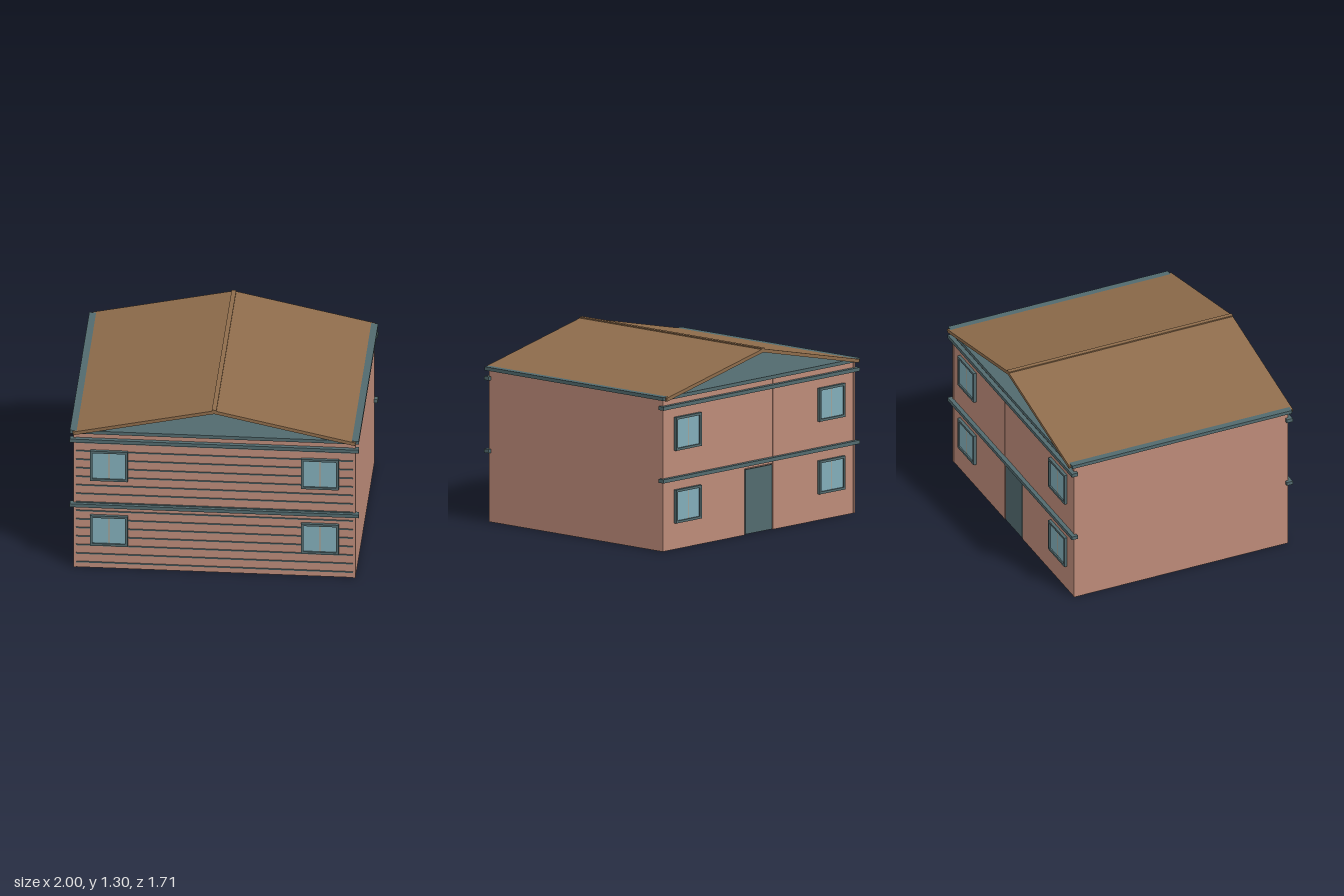
import * as THREE from 'three';

const material = (name, color, side = THREE.FrontSide) => {
  const m = new THREE.MeshStandardMaterial({ color, side });
  m.name = name;
  return m;
};

export function createModel() {
  const house = new THREE.Group();
  house.name = 'house';

  const wall = material('wall clay', 0xbd8b79);
  const trim = material('slate trim', 0x526a6e);
  const glass = material('window glass', 0x82adb9);
  const roofing = material('roof brown', 0x8e6c4b);
  const stone = material('floor grey', 0x96927f);
  const bead = material('mullion tan', 0xb59a80);

  // Box given by its limits on each axis
  const box = (parent, name, mat, [x0, x1], [y0, y1], [z0, z1]) => {
    const mesh = new THREE.Mesh(new THREE.BoxGeometry(x1 - x0, y1 - y0, z1 - z0), mat);
    mesh.position.set((x0 + x1) / 2, (y0 + y1) / 2, (z0 + z1) / 2);
    mesh.name = name;
    parent.add(mesh);
    return mesh;
  };

  const wallTop = 1.065;

  // Floor and hollow shell
  box(house, 'floor', stone, [-0.96, 0.96], [0.003, 0.02], [-0.8, 0.8]);
  box(house, 'leftWall', wall, [0.96, 0.975], [0, wallTop], [-0.815, 0.82]);
  box(house, 'rightWall', wall, [-0.975, -0.96], [0, wallTop], [-0.815, 0.82]);
  box(house, 'frontWall', wall, [-0.96, 0.96], [0, wallTop], [0.8, 0.815]);

  // Back wall in three panels around the doorway
  box(house, 'backWallLeft', wall, [0.145, 0.96], [0, wallTop], [-0.812, -0.797]);
  box(house, 'backWallRight', wall, [-0.96, -0.145], [0, wallTop], [-0.812, -0.797]);
  box(house, 'panelOverDoor', wall, [-0.145, 0.145], [0.465, wallTop], [-0.81, -0.797]);
  box(house, 'door', trim, [-0.135, 0.135], [0.004, 0.458], [-0.812, -0.797]);

  // Siding battens across the front
  const siding = new THREE.Group();
  siding.name = 'siding';
  for (let i = 0; i < 15; i++) {
    const y = 0.043 + i * 0.0673;
    box(siding, 'batten', trim, [-0.96, 0.96], [y - 0.004, y + 0.004], [0.814, 0.822]);
  }
  house.add(siding);

  // Floor bands, front and back
  for (const s of [1, -1]) {
    for (const y of [0.499, 1.01]) {
      const z = s > 0 ? [0.8, 0.845] : [-0.842, -0.797];
      box(house, s > 0 ? 'frontBand' : 'backBand', trim, [-1, 1], [y - 0.013, y + 0.013], z);
    }
  }

  // Eave slab, open to the attic
  box(house, 'eaveSlab', trim, [-1, 1], [wallTop, 1.09], [-0.84, 0.84]);

  // Window with two panes, built facing +z around its own centre
  const makeWindow = (h) => {
    const g = new THREE.Group();
    g.name = 'window';
    const w = 0.13, t = 0.017, k = h / 2;
    for (const s of [1, -1]) {
      const side = s > 0 ? [w - t, w] : [-w, t - w];
      const rail = s > 0 ? [k - t, k] : [-k, t - k];
      box(g, 'frameSide', trim, side, [-k, k], [0, 0.022]);
      box(g, 'frameRail', trim, [t - w, w - t], rail, [0, 0.022]);
      const pane = s > 0 ? [0.003, w - t] : [t - w, -0.003];
      box(g, 'pane', glass, pane, [t - k, k - t], [0.003, 0.012]);
    }
    box(g, 'mullion', bead, [-0.003, 0.003], [t - k, k - t], [0.003, 0.011]);
    return g;
  };
  for (const s of [1, -1]) {
    for (const x of [-0.73, 0.73]) {
      for (const [y, h] of [[0.302, 0.235], [0.812, 0.235]]) {
        const win = makeWindow(h);
        win.position.set(x, y, s > 0 ? 0.815 : -0.812);
        if (s < 0) win.rotation.y = Math.PI;
        house.add(win);
      }
    }
  }

  // Two roof slopes, thin in section and open at the gables
  for (const s of [1, -1]) {
    const section = new THREE.Shape([
      [0, 1.295], [0, 1.27], [0.975, 1.06], [0.98, 1.084],
    ].map(([x, y]) => new THREE.Vector2(s * x, y)));
    const slope = new THREE.Mesh(
      new THREE.ExtrudeGeometry(section, { depth: 1.71, bevelEnabled: false }), roofing);
    slope.position.z = -0.855;
    slope.name = s > 0 ? 'leftRoofSlope' : 'rightRoofSlope';
    house.add(slope);
  }
  box(house, 'ridgeCap', roofing, [-0.016, 0.016], [1.275, 1.3], [-0.855, 0.855]);

  return house;
}
